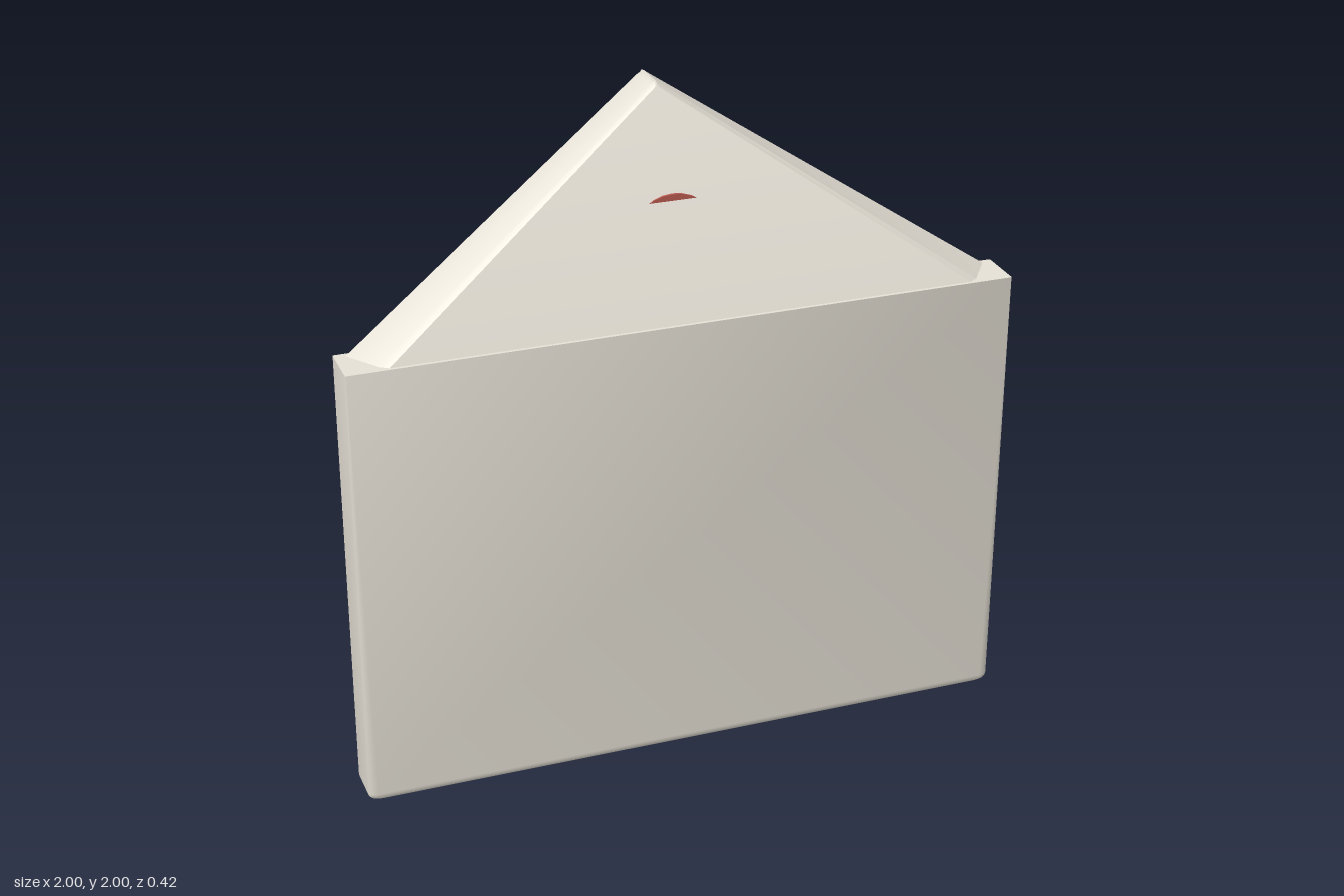
import * as THREE from 'three';
import { toCreasedNormals } from 'three/addons/utils/BufferGeometryUtils.js';

// Skin a stack of rings (counter-clockwise from above, bottom to top) and cap both ends
function loft(rings) {
  const pos = [];
  const tri = (a, b, c) => pos.push(...a, ...b, ...c);
  const n = rings[0].length;
  for (let k = 0; k < rings.length - 1; k++) {
    for (let i = 0; i < n; i++) {
      const j = (i + 1) % n, lo = rings[k], hi = rings[k + 1];
      tri(lo[i], lo[j], hi[j]);
      tri(lo[i], hi[j], hi[i]);
    }
  }
  const bottom = rings[0], top = rings[rings.length - 1];
  for (let i = 1; i < n - 1; i++) {
    tri(bottom[0], bottom[i + 1], bottom[i]);
    tri(top[0], top[i], top[i + 1]);
  }
  const geo = new THREE.BufferGeometry();
  geo.setAttribute('position', new THREE.Float32BufferAttribute(pos, 3));
  return toCreasedNormals(geo, 0.6);
}

// Rectangle ring with rounded corners
function roundedRing(y, halfX, zBack, zFront, rx, rz) {
  const ring = [], steps = 4;
  const corners = [[1, 1], [1, -1], [-1, -1], [-1, 1]];
  corners.forEach(([sx, sz], c) => {
    for (let s = 0; s <= steps; s++) {
      const a = Math.PI / 2 - (c + s / steps) * Math.PI / 2;
      const cx = sx * (halfX - rx);
      const cz = sz > 0 ? zFront - rz : zBack + rz;
      ring.push([cx + rx * Math.cos(a), y, cz + rz * Math.sin(a)]);
    }
  });
  return ring;
}

// Mirrored ring from right-hand [x, z] points listed front to back
function mirroredRing(y, half) {
  const right = half.map(([x, z]) => [x, y, z]);
  const left = half.map(([x, z]) => [-x, y, z]).reverse();
  return [...right, ...left];
}

export function createModel() {
  const group = new THREE.Group();
  const paper = new THREE.MeshStandardMaterial({ color: 0xe6e1d6 });
  const wax = new THREE.MeshStandardMaterial({ color: 0xb85a50 });
  const add = (name, geo, mat) => {
    const mesh = new THREE.Mesh(geo, mat);
    mesh.name = name;
    group.add(mesh);
    return mesh;
  };

  // Envelope body: rounded bottom, upright bevels narrowing to sharp top corners
  const body = [];
  const bevel = 0.025;
  for (let s = 0; s <= 4; s++) {
    const a = (s / 4) * Math.PI / 2;
    const inset = bevel * (1 - Math.sin(a));
    body.push(roundedRing(bevel * (1 - Math.cos(a)), 1 - inset,
      0.066 + inset * 0.7, 0.211 - inset * 0.7, 0.028, 0.018));
  }
  body.push(roundedRing(1.38, 1, 0.066, 0.211, 0.003, 0.003));
  add('envelopeBody', loft(body), paper);

  // Open triangular flap leaning back, chamfered along its sloping edges
  add('flap', loft([
    mirroredRing(1.375, [[0.88, 0.203], [0.905, 0.187], [0.975, 0.085], [0.945, 0.07]]),
    mirroredRing(1.99, [[0.004, -0.078], [0.018, -0.095], [0.018, -0.198], [0.004, -0.211]]),
    mirroredRing(2, [[0.002, -0.085], [0.005, -0.1], [0.005, -0.195], [0.002, -0.205]]),
  ]), paper);

  // Round seal set upright through the flap
  const seal = add('seal', new THREE.CylinderGeometry(0.148, 0.148, 0.042, 32), wax);
  seal.rotation.x = Math.PI / 2;
  seal.position.set(0, 1.568, 0.035);

  return group;
}
